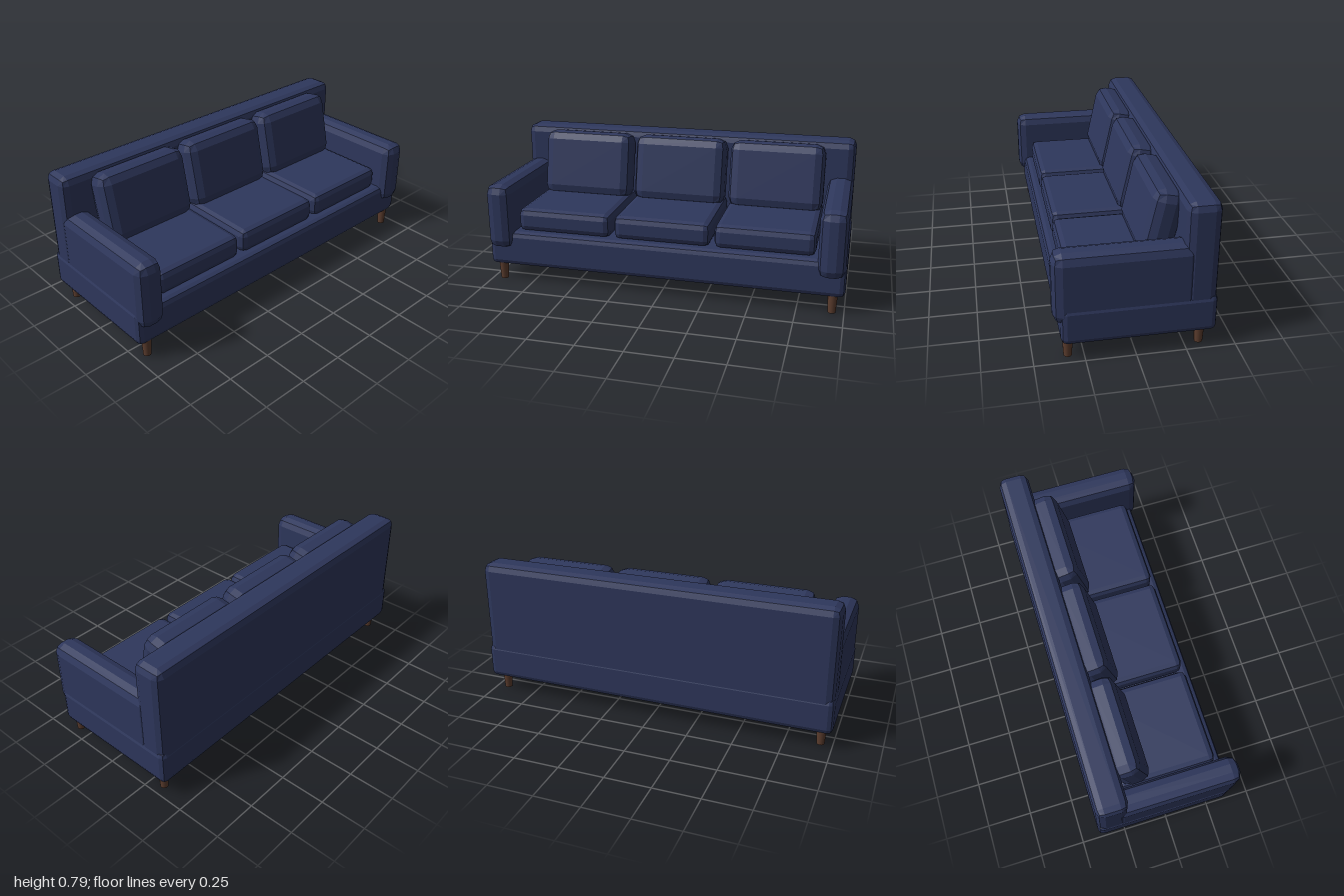
import * as THREE from 'three';
import { RoundedBoxGeometry } from 'three/addons/geometries/RoundedBoxGeometry.js';

export function createModel() {
  const sofa = new THREE.Group();
  sofa.name = 'sofa';

  const fabric = new THREE.MeshStandardMaterial({ color: 0x2e375c, flatShading: true });
  fabric.name = 'navyFabric';
  const wood = new THREE.MeshStandardMaterial({ color: 0x5c3d2e });
  wood.name = 'brownWood';

  // Upholstered block with two-facet bevels, given by its extents
  function block(name, [x0, x1], [y0, y1], [z0, z1], bevel) {
    const geometry = new RoundedBoxGeometry(x1 - x0, y1 - y0, z1 - z0, 1, bevel);
    const mesh = new THREE.Mesh(geometry, fabric);
    mesh.name = name;
    mesh.position.set((x0 + x1) / 2, (y0 + y1) / 2, (z0 + z1) / 2);
    sofa.add(mesh);
    return mesh;
  }

  // Frame
  block('base', [-1, 1], [0.093, 0.295], [-0.4, 0.365], 0.03);
  block('backrest', [-0.995, 0.995], [0.18, 0.785], [-0.398, -0.228], 0.042);

  // Arms, overhanging the base at the front
  block('leftArm', [0.85, 0.995], [0.2, 0.573], [-0.305, 0.4], 0.05);
  block('rightArm', [-0.995, -0.85], [0.2, 0.573], [-0.305, 0.4], 0.05);

  // Three seat cushions and three leaning back cushions
  const lean = 0.212;
  const height = 0.385, depth = 0.163;
  ['right', 'middle', 'left'].forEach((side, i) => {
    const x = (i - 1) * 0.564;
    block(side + 'SeatCushion', [x - 0.271, x + 0.271], [0.29, 0.423], [-0.24, 0.32], 0.035);

    const cushion = block(side + 'BackCushion', [x - 0.269, x + 0.269],
      [-height / 2, height / 2], [-depth / 2, depth / 2], 0.055);
    cushion.rotation.x = -lean;
    // Placed from the top front corner of the tilted box
    cushion.position.y = 0.788 - Math.cos(lean) * height / 2 - Math.sin(lean) * depth / 2;
    cushion.position.z = -0.121 + Math.sin(lean) * height / 2 - Math.cos(lean) * depth / 2;
  });

  // Tapered legs
  const legGeometry = new THREE.CylinderGeometry(0.027, 0.021, 0.11, 16);
  for (const [sideName, x] of [['Left', 0.936], ['Right', -0.936]]) {
    for (const [endName, z] of [['front', 0.329], ['back', -0.327]]) {
      const leg = new THREE.Mesh(legGeometry, wood);
      leg.name = endName + sideName + 'Leg';
      leg.position.set(x, 0.055, z);
      sofa.add(leg);
    }
  }

  return sofa;
}
